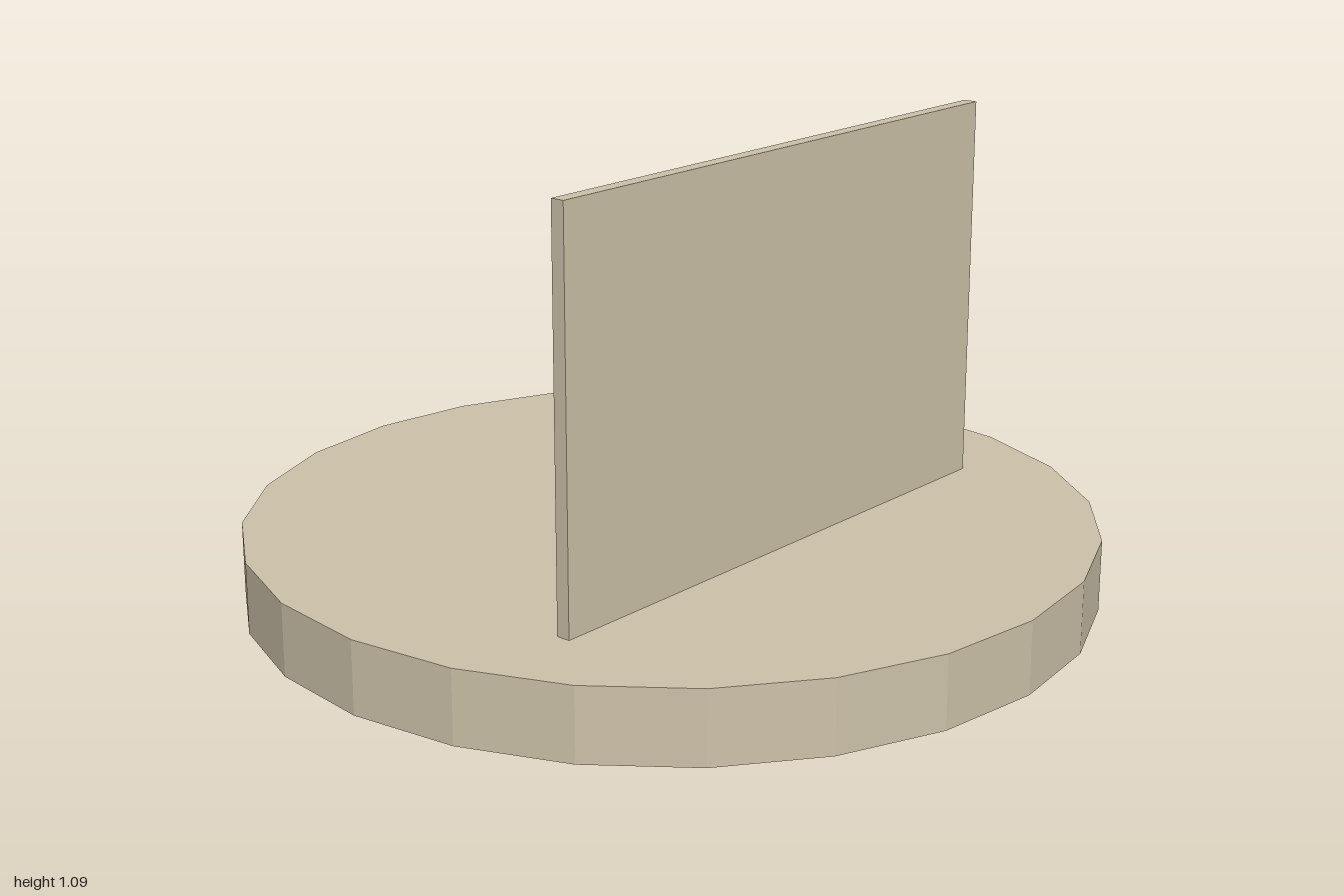
import * as THREE from 'three';

export function createModel() {
  const root = new THREE.Group();
  const mat = (name, color) => {
    const m = new THREE.MeshStandardMaterial({ color, flatShading: true });
    m.name = name;
    return m;
  };
  const stone = mat('pale stone', 0xcdc2a9);
  const steel = mat('steel grey', 0x8c8f97);
  const iron = mat('dark iron', 0x70737a);

  const add = (parent, name, geometry, material, x, y, z) => {
    const mesh = new THREE.Mesh(geometry, material);
    mesh.name = name;
    mesh.position.set(x, y, z);
    parent.add(mesh);
    return mesh;
  };
  const box = (w, h, d) => new THREE.BoxGeometry(w, h, d);
  const cyl = (rTop, rBottom, h, n) => new THREE.CylinderGeometry(rTop, rBottom, h, n);

  // Round base and upright wall
  add(root, 'base', cyl(1, 1, 0.17, 24), stone, 0, 0.085, 0);
  add(root, 'wall', box(1.424, 0.92, 0.033), stone, 0, 0.63, 0.325);

  // Fitting on the back of the wall
  const bracket = new THREE.Group();
  bracket.name = 'bracket';
  root.add(bracket);
  add(bracket, 'mountingPlate', box(0.112, 0.205, 0.016), steel, 0, 0.275, 0.301);

  // Bolt heads at the plate corners
  for (const x of [-0.043, 0.043]) {
    for (const y of [0.186, 0.364]) {
      add(bracket, 'bolt', cyl(0.009, 0.009, 0.008, 8), iron, x, y, 0.289).rotation.x = Math.PI / 2;
    }
  }

  // Arm reaching sideways to the holder
  add(bracket, 'arm', box(0.16, 0.026, 0.022), iron, 0.1, 0.283, 0.275);

  // Upright lamp: socket, stem, barrel and round tip
  const lamp = new THREE.Group();
  lamp.name = 'lamp';
  lamp.position.set(0.184, 0, 0.276);
  bracket.add(lamp);
  add(lamp, 'socket', cyl(0.029, 0.029, 0.04, 12), iron, 0, 0.284, 0);
  add(lamp, 'stem', cyl(0.012, 0.012, 0.06, 10), steel, 0, 0.329, 0);
  add(lamp, 'barrel', cyl(0.028, 0.028, 0.07, 12), iron, 0, 0.388, 0);
  add(lamp, 'tip', new THREE.SphereGeometry(0.021, 10, 8), steel, 0, 0.438, 0);

  return root;
}
